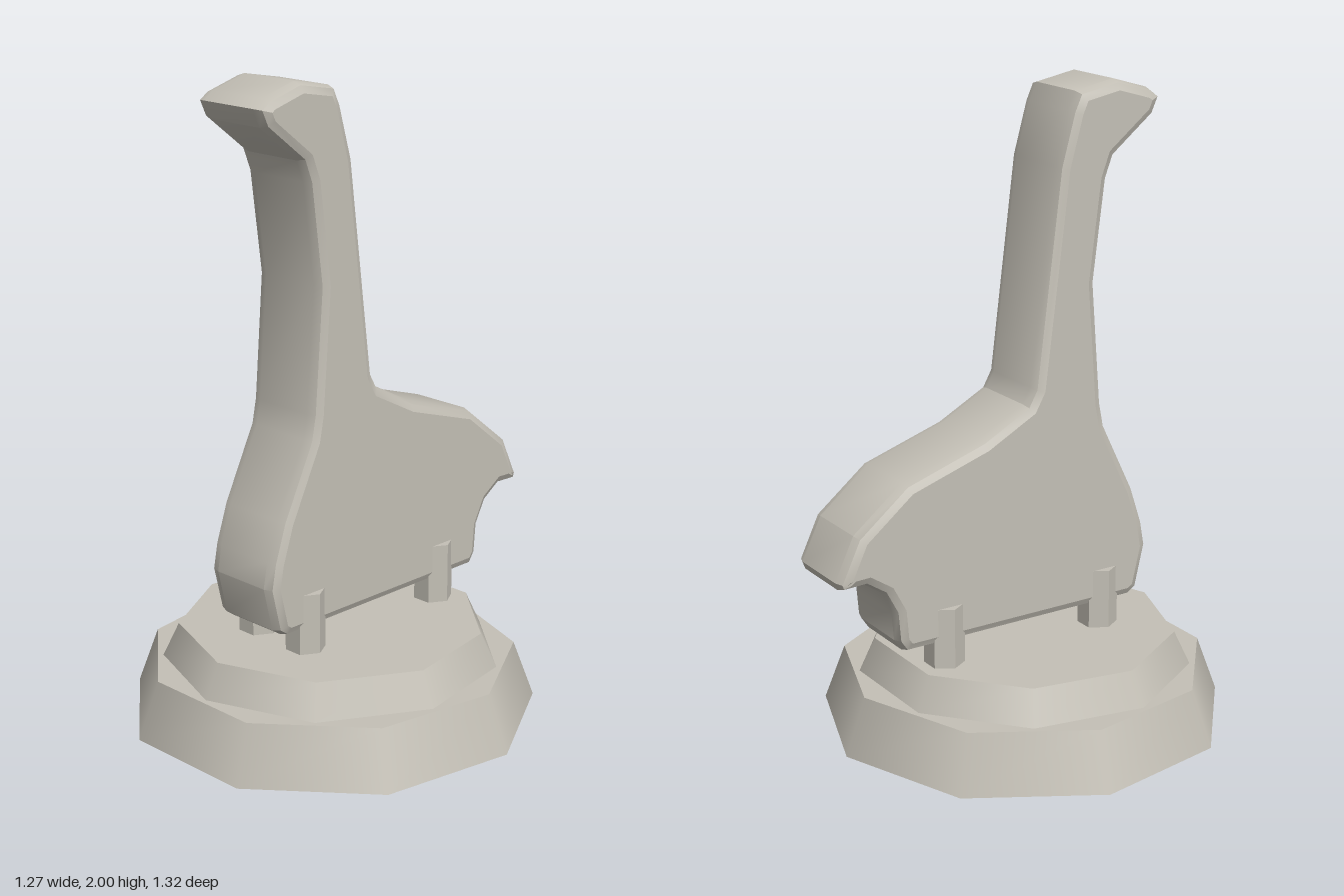
import * as THREE from 'three';
import { toCreasedNormals } from 'three/addons/utils/BufferGeometryUtils.js';

export function createModel() {
  const model = new THREE.Group();
  model.name = 'longNeckedDinosaurOnStand';
  const stone = new THREE.MeshStandardMaterial({ color: 0xc4c0b6 });
  stone.name = 'warm grey';

  const add = (name, geometry, x = 0, y = 0, z = 0) => {
    const mesh = new THREE.Mesh(geometry, stone);
    mesh.name = name;
    mesh.position.set(x, y, z);
    model.add(mesh);
    return mesh;
  };

  // Nine-sided stand in two tapered tiers, the lower one turned by half a side
  const centreZ = 0.057;
  add('lowerTier', new THREE.CylinderGeometry(0.577, 0.643, 0.18, 9, 1, false, Math.PI / 9), 0, 0.09, centreZ);
  add('upperTier', new THREE.CylinderGeometry(0.475, 0.525, 0.105, 9), 0, 0.2325, centreZ);

  // Body, neck, head and tail: one side profile (z, y), extruded with a soft rim
  const profile = [
    [0.455, 1.94], [0.42, 1.965], [0.3, 2.0], [0.165, 1.975], [0.14, 1.92], [0.095, 1.76],
    [0.012, 1.1], [-0.015, 1.052], [-0.17, 0.97], [-0.435, 0.885], [-0.6, 0.753],
    [-0.663, 0.62], [-0.655, 0.597], [-0.575, 0.6], [-0.515, 0.56], [-0.478, 0.49],
    [-0.47, 0.395], [-0.445, 0.358], [0.37, 0.358], [0.402, 0.38], [0.435, 0.52],
    [0.42, 0.6], [0.38, 0.72], [0.27, 0.945], [0.255, 1.02], [0.225, 1.4],
    [0.265, 1.71], [0.29, 1.775], [0.43, 1.885],
  ];
  const shape = new THREE.Shape(profile.map(([z, y]) => new THREE.Vector2(z, y)));
  const body = new THREE.ExtrudeGeometry(shape, {
    depth: 0.2, bevelThickness: 0.04, bevelSize: 0.03, bevelOffset: -0.03, bevelSegments: 2,
  });
  body.translate(0, 0, -0.1);
  body.rotateY(-Math.PI / 2);
  add('body', toCreasedNormals(body, 0.5));

  // Four hexagonal peg legs
  for (const [end, z] of [['front', 0.268], ['back', -0.297]]) {
    for (const [side, x] of [['Left', 0.103], ['Right', -0.103]]) {
      const leg = new THREE.CylinderGeometry(0.062, 0.062, 0.195, 6, 1, false, Math.PI / 6);
      add(`${end}${side}Leg`, toCreasedNormals(leg, 0.5), x, 0.3775, z);
    }
  }
  return model;
}
